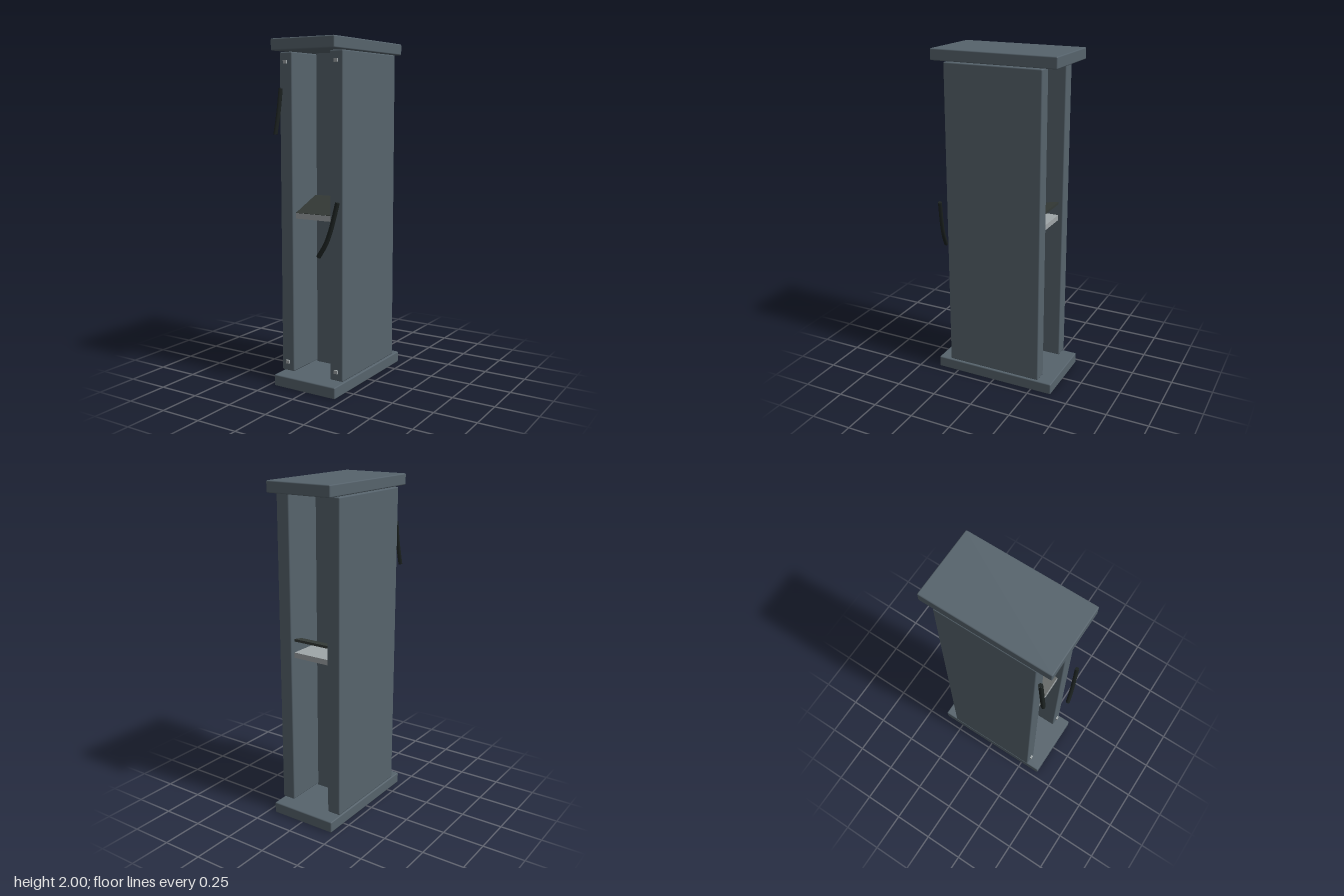
import * as THREE from 'three';
import { RoundedBoxGeometry } from 'three/addons/geometries/RoundedBoxGeometry.js';

const mat = (name, color) => {
  const m = new THREE.MeshStandardMaterial({ color });
  m.name = name;
  return m;
};

export function createModel() {
  const body = mat('slate blue', 0x56636c);
  const steel = mat('light grey', 0x9fa6a8);
  const dark = mat('dark olive grey', 0x343a37);
  const black = mat('black rubber', 0x1c2221);

  const root = new THREE.Group();
  root.name = 'cabinet';
  const CX = -0.005; // cabinet centre; one strap sticks out past the side

  const add = (name, geo, material, x = 0, y = 0, z = 0) => {
    const mesh = new THREE.Mesh(geo, material);
    mesh.name = name;
    mesh.position.set(x, y, z);
    root.add(mesh);
    return mesh;
  };
  const slab = (w, h, d) => new RoundedBoxGeometry(w, h, d, 1, 0.007);

  // Cap and base plates
  add('basePlate', slab(0.42, 0.068, 0.764), body, CX, 0.034, 0);
  add('topPlate', slab(0.42, 0.066, 0.764), body, CX, 1.967, 0);

  // Side panels with small square bolts on the front edges
  for (const s of [-1, 1]) {
    add(s > 0 ? 'leftPanel' : 'rightPanel', slab(0.084, 1.855, 0.596), body, CX + s * 0.168, 1.0025, 0);
    for (const y of [0.13, 1.875])
      add('bolt', new THREE.BoxGeometry(0.022, 0.02, 0.014), steel, CX + s * 0.168, y, 0.302);
  }

  // Dividing panel between the front and back recesses
  add('dividingPanel', new THREE.BoxGeometry(0.256, 1.88, 0.1), body, CX, 1.0025, 0);

  // Shelf running through the divider
  add('shelf', new THREE.BoxGeometry(0.25, 0.032, 0.54), steel, CX, 1.002, 0);

  // Sloping flaps above the shelf: profile in (z, y), extruded across the opening
  const flap = (name, pts) => {
    const shape = new THREE.Shape(pts.map(([z, y]) => new THREE.Vector2(-z, y)));
    const geo = new THREE.ExtrudeGeometry(shape, { depth: 0.25, bevelEnabled: false });
    geo.rotateY(Math.PI / 2).translate(CX - 0.125, 0, 0);
    add(name, geo, dark);
  };
  flap('frontFlap', [[0.268, 1.012], [0.268, 1.02], [0.07, 1.102], [0.04, 1.102], [0.04, 1.085]]);
  flap('backFlap', [[-0.04, 1.0], [-0.04, 1.02], [-0.2, 1.088], [-0.27, 1.1], [-0.27, 1.085]]);

  // Curved straps hanging in front of the panels
  const strap = (name, pts) => {
    const curve = new THREE.CatmullRomCurve3(pts.map((p) => new THREE.Vector3(...p)));
    const r = 0.013;
    add(name, new THREE.TubeGeometry(curve, 16, r, 6), black);
    // Closed ends
    for (const t of [0, 1]) {
      const cap = add(name + 'End', new THREE.CircleGeometry(r, 6), black);
      const p = curve.getPoint(t);
      cap.position.copy(p);
      cap.lookAt(p.clone().addScaledVector(curve.getTangent(t), t ? 1 : -1));
    }
  };
  strap('rightStrap', [[-0.194, 1.727, 0.318], [-0.198, 1.6, 0.334], [-0.207, 1.47, 0.354]]);
  strap('leftStrap', [[0.202, 1.108, 0.347], [0.17, 0.97, 0.358], [0.14, 0.88, 0.366], [0.095, 0.8, 0.376]]);

  return root;
}
